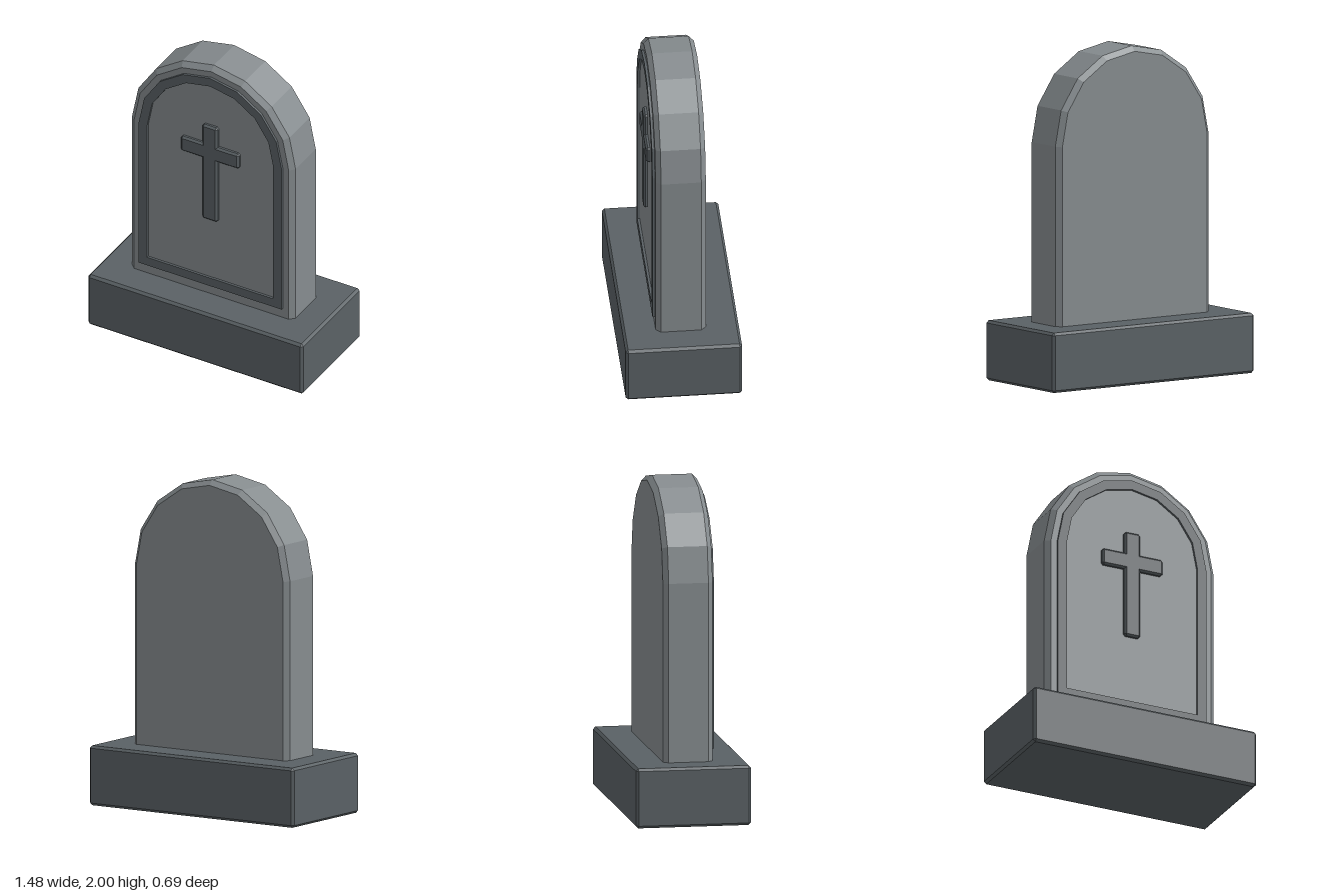
import * as THREE from 'three';
import { ConvexGeometry } from 'three/addons/geometries/ConvexGeometry.js';

const ARCH_Y = 1.44; // height where the straight sides meet the arch

// Round-topped outline with an eight-sided arch
function archPoints(r, bottom) {
  const pts = [new THREE.Vector2(-r, bottom), new THREE.Vector2(r, bottom)];
  for (let i = 0; i <= 8; i++) {
    const a = (i / 8) * Math.PI;
    pts.push(new THREE.Vector2(r * Math.cos(a), ARCH_Y + r * Math.sin(a)));
  }
  return pts;
}

// Box with every edge and corner cut by a flat chamfer c
function chamferBox(w, h, d, c) {
  const pts = [];
  const x = w / 2, y = h / 2, z = d / 2;
  for (const sx of [-1, 1]) for (const sy of [-1, 1]) for (const sz of [-1, 1]) {
    pts.push(
      new THREE.Vector3(sx * x, sy * (y - c), sz * (z - c)),
      new THREE.Vector3(sx * (x - c), sy * y, sz * (z - c)),
      new THREE.Vector3(sx * (x - c), sy * (y - c), sz * z)
    );
  }
  return new ConvexGeometry(pts);
}

export function createModel() {
  const group = new THREE.Group();
  group.name = 'gravestone';

  const stone = new THREE.MeshStandardMaterial({ color: 0x868c8f });
  stone.name = 'light stone';
  const darkStone = new THREE.MeshStandardMaterial({ color: 0x5a6165 });
  darkStone.name = 'dark stone';

  const add = (parent, name, geometry, material, x = 0, y = 0, z = 0) => {
    const mesh = new THREE.Mesh(geometry, material);
    mesh.name = name;
    mesh.position.set(x, y, z);
    parent.add(mesh);
  };

  // Plinth
  add(group, 'base', chamferBox(1.475, 0.36, 0.695, 0.015), darkStone, 0, 0.18, 0);

  // Upright slab with bevelled front and back rims, sunk into the plinth
  const slab = new THREE.ExtrudeGeometry(new THREE.Shape(archPoints(0.56, 0.28)), {
    depth: 0.24, bevelEnabled: true, bevelThickness: 0.03,
    bevelSize: 0.03, bevelOffset: -0.03, bevelSegments: 1
  });
  add(group, 'slab', slab, stone, 0, 0, -0.12);

  // Raised border following the slab outline
  const frame = new THREE.Shape(archPoints(0.49, 0.425));
  frame.holes.push(new THREE.Path(archPoints(0.432, 0.483)));
  add(group, 'border', new THREE.ExtrudeGeometry(frame, { depth: 0.025, bevelEnabled: false }),
    darkStone, 0, 0, 0.14);

  // Relief cross made of two chamfered bars
  const cross = new THREE.Group();
  cross.name = 'cross';
  add(cross, 'crossUpright', chamferBox(0.105, 0.68, 0.05, 0.012), darkStone, 0, 1.245, 0.15);
  add(cross, 'crossArm', chamferBox(0.4, 0.105, 0.05, 0.012), darkStone, 0, 1.395, 0.15);
  group.add(cross);

  return group;
}
